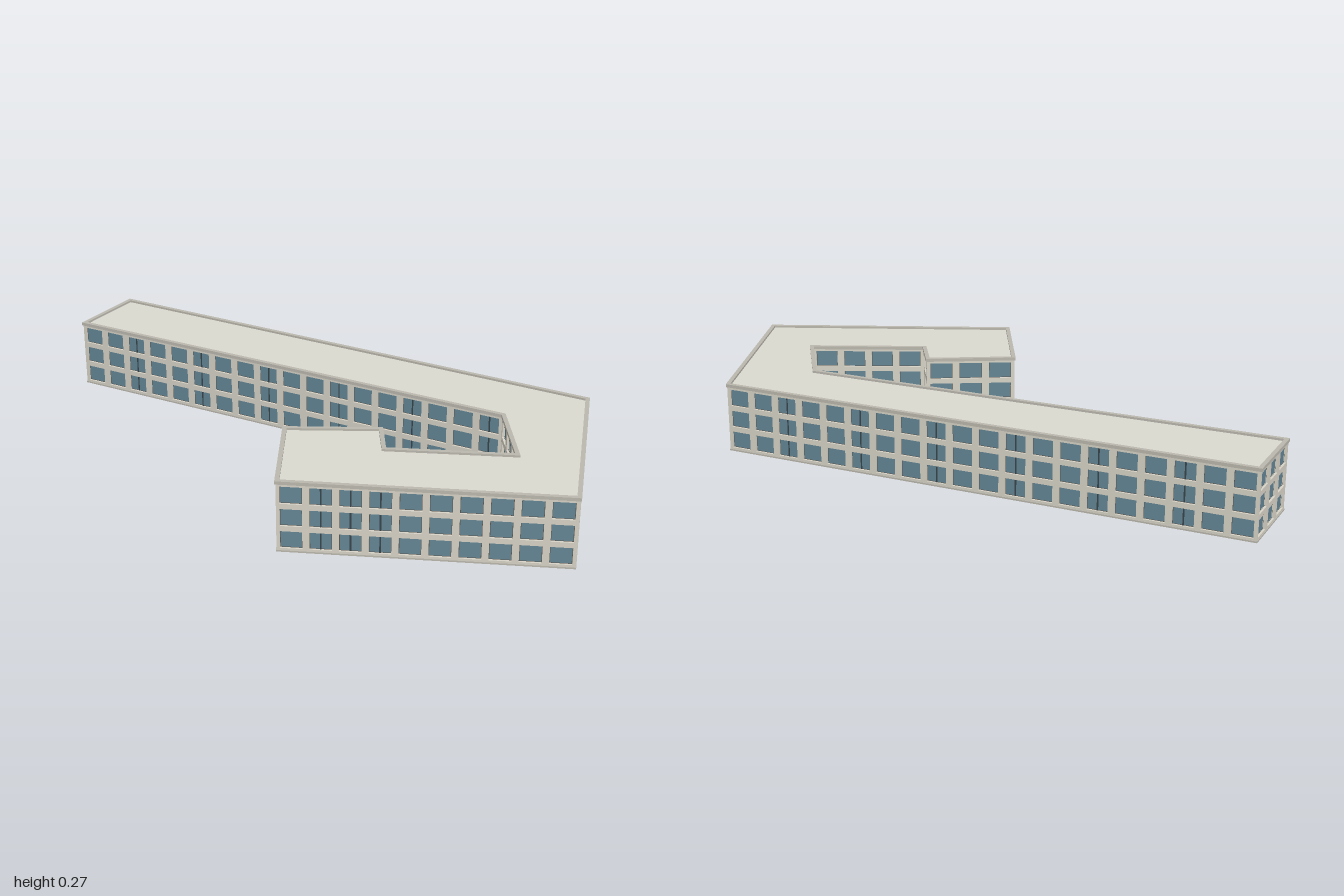
import * as THREE from 'three';

const mat = (name, color) => new THREE.MeshStandardMaterial({ name, color, side: THREE.DoubleSide });

// Footprint corners as (x, z), ordered so that each edge faces outward
const FOOTPRINT = [
  [-0.94, -0.75], [0.58, 0.342], [0.557, 0.652], [0.123, 0.55], [0.138, 0.391],
  [-0.217, 0.336], [-0.287, 0.754], [0.698, 1], [0.938, 0.24], [-0.74, -1],
].map(([x, z]) => new THREE.Vector2(x, z));

const HEIGHT = 0.27, WALL_TOP = 0.258, THICK = 0.012;
const FLOORS = [0.014, 0.099, 0.184], WIN_H = 0.065, BAY = 0.1;

// Windows with a dark central post, by wall index
const POSTS = {
  0: (i) => i % 3 === 2,
  6: (i) => i > 0 && i < 4,
  7: (i) => i === 3,
  8: (i) => i % 3 === 2,
};

// Mitred inward offset of the footprint
function inset(points, d) {
  const n = points.length;
  return points.map((p, i) => {
    const a = p.clone().sub(points[(i + n - 1) % n]).normalize();
    const b = points[(i + 1) % n].clone().sub(p).normalize();
    const na = new THREE.Vector2(a.y, -a.x), nb = new THREE.Vector2(b.y, -b.x);
    return na.clone().add(nb).multiplyScalar(d / (1 + na.dot(nb))).add(p);
  });
}

function rectPoints(x, y, w, h) {
  return [[x, y], [x + w, y], [x + w, y + h], [x, y + h]].map(([u, v]) => new THREE.Vector2(u, v));
}

// Horizontal ring following the footprint
function ring(name, outer, inner, top, depth, material) {
  const shape = new THREE.Shape(outer);
  shape.holes.push(new THREE.Path(inner));
  const geo = new THREE.ExtrudeGeometry(shape, { depth, bevelEnabled: false }).rotateX(Math.PI / 2);
  const mesh = new THREE.Mesh(geo, material);
  mesh.name = name;
  mesh.position.y = top;
  return mesh;
}

export function createModel() {
  const wallMat = mat('pale stone', 0xd6d2c6);
  const glassMat = mat('blue glass', 0x638594);
  const frameMat = mat('window frame', 0x5c5850);
  const postMat = mat('dark post', 0x38444a);
  const trimMat = mat('grey trim', 0xbab7ad);
  const roofMat = mat('roof grey', 0xd8d8cf);

  const model = new THREE.Group();
  model.name = 'building';
  const walls = inset(FOOTPRINT, 0.004);

  walls.forEach((p, index) => {
    const q = walls[(index + 1) % walls.length];
    const length = p.distanceTo(q);
    const count = Math.max(1, Math.floor(length / BAY));
    const bay = length / count, winW = bay * 0.76;

    const facade = new THREE.Group();
    facade.name = 'facade' + (index + 1);
    facade.position.set(p.x, 0, p.y);
    facade.rotation.y = Math.atan2(-(q.y - p.y), q.x - p.x);

    // Wall with openings, plus the panes, frames and posts that fill them
    const wall = new THREE.Shape(rectPoints(0, 0, length, WALL_TOP));
    const panes = [], frames = [], posts = [];
    for (let i = 0; i < count; i++) {
      const x = (i + 0.5) * bay - winW / 2;
      for (const y of FLOORS) {
        const opening = rectPoints(x, y, winW, WIN_H);
        wall.holes.push(new THREE.Path(opening));
        panes.push(new THREE.Shape(opening));
        const frame = new THREE.Shape(opening);
        frame.holes.push(new THREE.Path(rectPoints(x + 0.002, y + 0.002, winW - 0.004, WIN_H - 0.004)));
        frames.push(frame);
        if (POSTS[index]?.(i)) {
          posts.push(new THREE.Shape(rectPoints(x + winW / 2 - 0.003, y, 0.006, WIN_H)));
        }
      }
    }
    const add = (name, geo, material, z) => {
      const mesh = new THREE.Mesh(geo, material);
      mesh.name = name;
      mesh.position.z = z;
      facade.add(mesh);
    };
    add('wall', new THREE.ExtrudeGeometry(wall, { depth: THICK, bevelEnabled: false }), wallMat, -THICK);
    add('windowGlass', new THREE.ShapeGeometry(panes), glassMat, -0.01);
    add('windowFrames', new THREE.ShapeGeometry(frames), frameMat, -0.008);
    if (posts.length) add('windowPosts', new THREE.ShapeGeometry(posts), postMat, -0.006);
    model.add(facade);
  });

  // Flat roof behind a low parapet
  const roof = new THREE.Mesh(new THREE.ShapeGeometry(new THREE.Shape(inset(FOOTPRINT, 0.012))).rotateX(Math.PI / 2), roofMat);
  roof.name = 'roof';
  roof.position.y = 0.262;
  model.add(roof);
  model.add(ring('parapet', FOOTPRINT, inset(FOOTPRINT, 0.016), HEIGHT, HEIGHT - WALL_TOP, trimMat));

  // Thin plinth at the ground
  model.add(ring('plinth', inset(FOOTPRINT, 0.002), inset(FOOTPRINT, 0.018), 0.006, 0.006, trimMat));
  return model;
}
